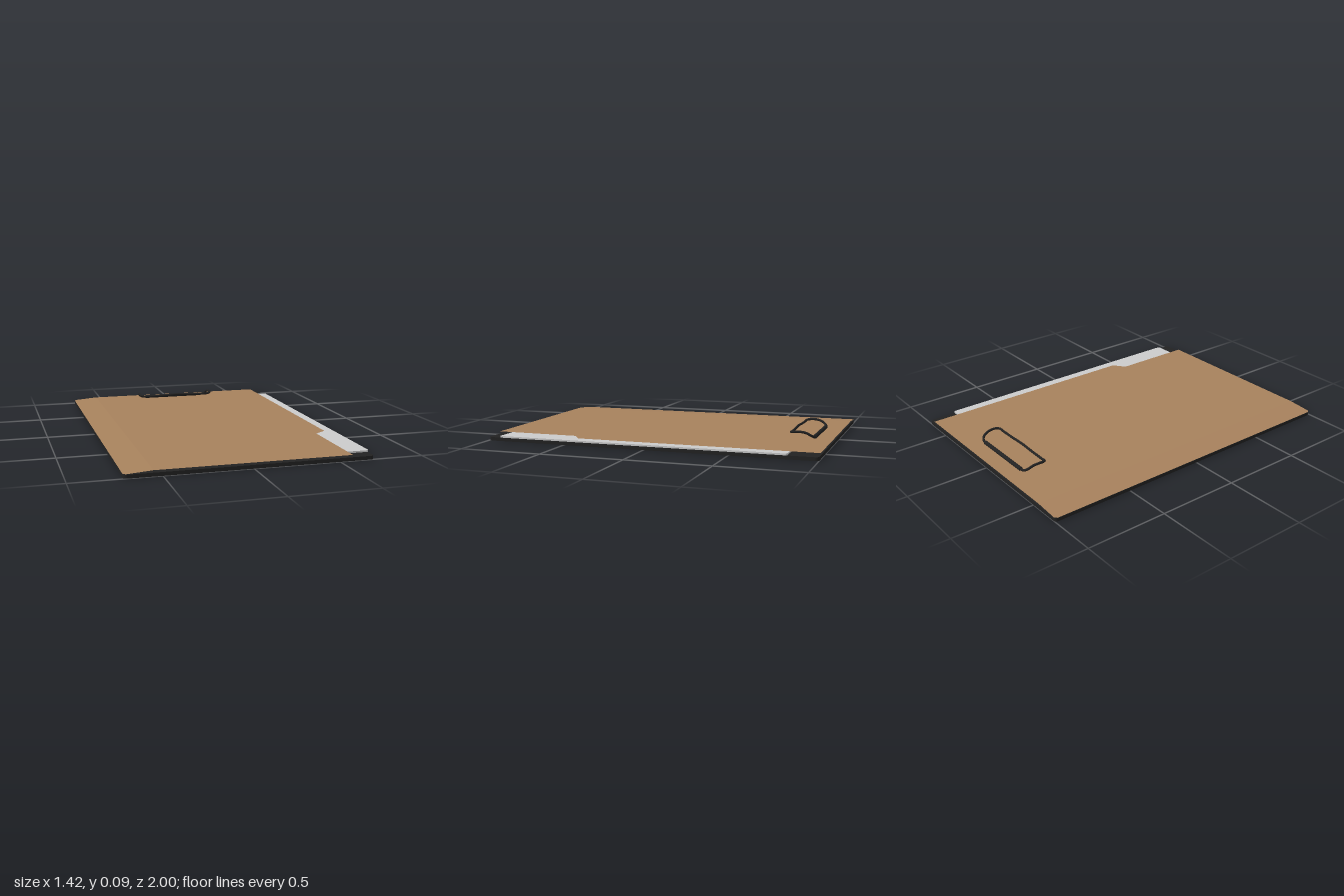
import * as THREE from 'three';

const black = new THREE.MeshStandardMaterial({ name: 'black', color: 0x222222 });
const brown = new THREE.MeshStandardMaterial({ name: 'kraft brown', color: 0xa8825d, side: THREE.DoubleSide });
const white = new THREE.MeshStandardMaterial({ name: 'paper', color: 0xcccccc });

// Outline in the ground plane from [x, z] points
const outline = (pts) => new THREE.Shape(pts.map(([x, z]) => new THREE.Vector2(x, -z)));

function roundedOutline(x0, x1, z0, z1, r) {
  const pts = [];
  const corners = [[x1 - r, z0 + r, 0], [x0 + r, z0 + r, 1], [x0 + r, z1 - r, 2], [x1 - r, z1 - r, 3]];
  for (const [cx, cz, q] of corners) {
    for (let i = 0; i <= 4; i++) {
      const a = (q + i / 4) * Math.PI / 2;
      pts.push([cx + r * Math.cos(a), cz - r * Math.sin(a)]);
    }
  }
  return outline(pts);
}

function slab(shape, y, height) {
  const g = new THREE.ExtrudeGeometry(shape, { depth: height, bevelEnabled: false });
  return g.rotateX(-Math.PI / 2).translate(0, y, 0);
}

// Flat sheet whose height follows a rule of x
function sheet(pts, heightAt) {
  const g = new THREE.ShapeGeometry(outline(pts)).rotateX(-Math.PI / 2);
  const p = g.attributes.position;
  for (let i = 0; i < p.count; i++) p.setY(i, heightAt(p.getX(i)));
  g.computeVertexNormals();
  return g;
}

export function createModel() {
  const model = new THREE.Group();
  const add = (name, geometry, material, parent = model) => {
    const mesh = new THREE.Mesh(geometry, material);
    mesh.name = name;
    parent.add(mesh);
    return mesh;
  };

  // Backing board and paper stack
  add('backingBoard', slab(roundedOutline(-0.71, 0.705, -1, 1, 0.02), 0, 0.021), black);
  add('paperStack', slab(roundedOutline(-0.53, 0.71, -0.83, 0.92, 0.01), 0.022, 0.01), white);

  // Front cover: a hinge strip rising to a flat panel with a stepped edge
  const cover = new THREE.Group();
  cover.name = 'cover';
  model.add(cover);
  const fold = -0.55;
  const heightAt = (x) => 0.0345 - 0.012 * Math.max(0, (fold - x) / (fold + 0.71));
  add('coverHinge', sheet([[fold, -1], [-0.695, -1], [-0.71, -0.985], [-0.71, 0.985], [-0.695, 1], [fold, 1]], heightAt), brown, cover);
  add('coverPanel', sheet([[0.65, -1], [fold, -1], [fold, 1], [0.575, 1], [0.575, 0.485], [0.65, 0.43]], heightAt), brown, cover);

  // Wire clip: one side is listed, the other is mirrored
  const clip = new THREE.Group();
  clip.name = 'clip';
  model.add(clip);
  const side = [
    [0.1, 0.072, -0.755], [0.22, 0.07, -0.755], [0.247, 0.074, -0.758], [0.259, 0.078, -0.778],
    [0.26, 0.079, -0.81], [0.255, 0.073, -0.845], [0.246, 0.058, -0.873],
    [0.225, 0.046, -0.887], [0.19, 0.043, -0.89], [0.1, 0.043, -0.89],
  ].map((p) => new THREE.Vector3(...p));
  const mirrored = side.map((p) => new THREE.Vector3(-p.x, p.y, p.z)).reverse();
  const path = new THREE.CatmullRomCurve3([new THREE.Vector3(0, 0.076, -0.755), ...side, ...mirrored], true);
  add('clipWire', new THREE.TubeGeometry(path, 160, 0.0075, 10, true), black, clip);

  // Hinge barrel and mounting plate
  const barrel = new THREE.CylinderGeometry(0.012, 0.012, 0.4, 16).rotateZ(Math.PI / 2);
  add('clipBarrel', barrel.translate(0, 0.043, -0.889), black, clip);
  add('clipPlate', slab(roundedOutline(-0.235, 0.235, -0.885, -0.835, 0.015), 0.021, 0.012), black, clip);

  return model;
}
